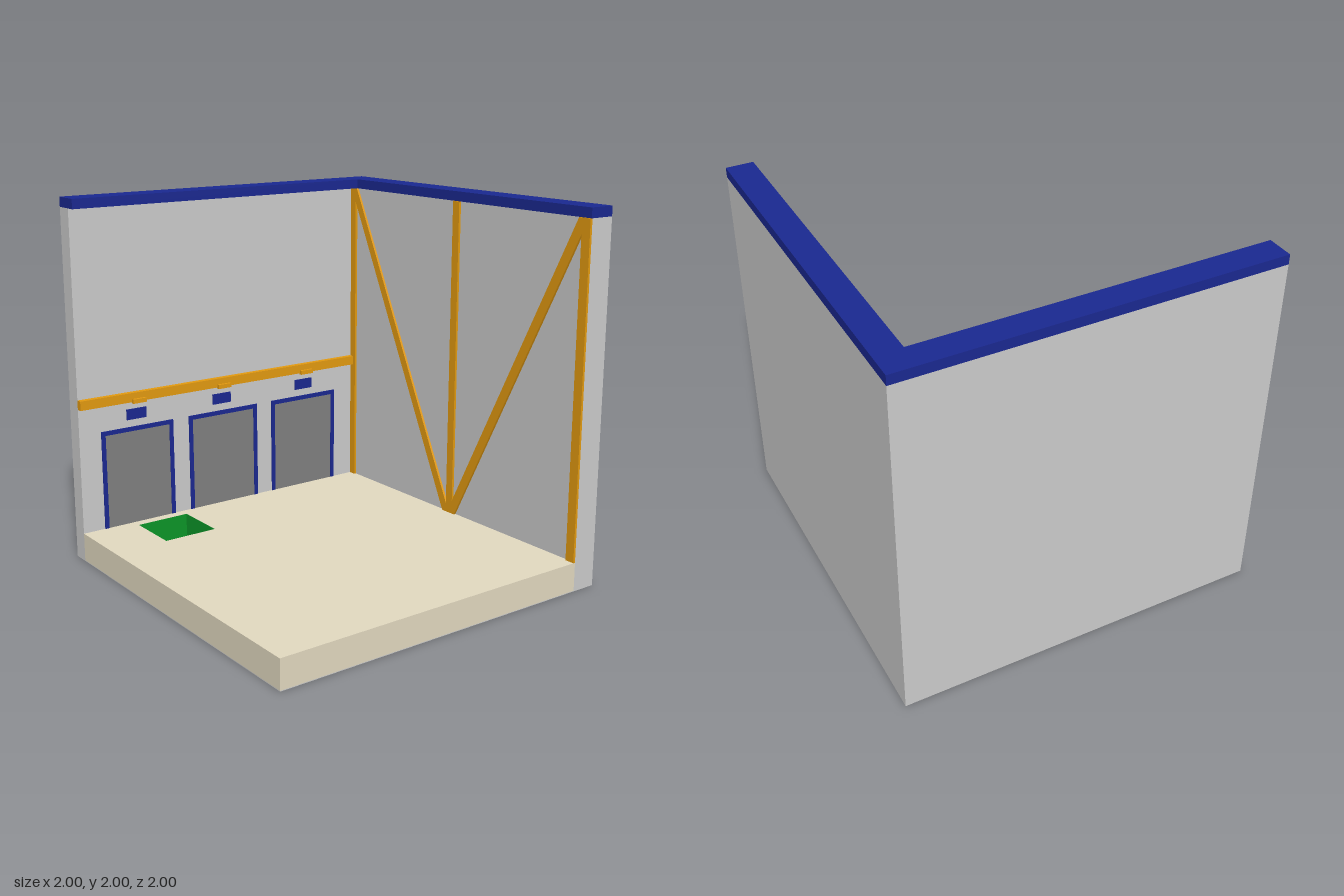
import * as THREE from 'three';

const mat = (color) => new THREE.MeshStandardMaterial({ color });
const grey = mat(0xcccccc);
const blue = mat(0x1a2890);
const orange = mat(0xe39a10);
const beige = mat(0xe2d9c0);
const green = mat(0x0c9628);
const darkGrey = mat(0x808080);

export function createModel() {
  const model = new THREE.Group();

  const add = (name, geometry, material) => {
    const mesh = new THREE.Mesh(geometry, material);
    mesh.name = name;
    model.add(mesh);
    return mesh;
  };

  // Box given by its limits on each axis
  const box = (name, material, x0, x1, y0, y1, z0, z1) => {
    const mesh = add(name, new THREE.BoxGeometry(x1 - x0, y1 - y0, z1 - z0), material);
    mesh.position.set((x0 + x1) / 2, (y0 + y1) / 2, (z0 + z1) / 2);
    return mesh;
  };

  const polygon = (points) => new THREE.Shape(points.map(([x, y]) => new THREE.Vector2(x, y)));

  // Rectangle outline in plan (shape y is -z)
  const plan = (x0, x1, z0, z1) => [[x0, -z1], [x1, -z1], [x1, -z0], [x0, -z0]];

  // Floor slab with a square pit cut right through
  const pit = { x0: -0.85, x1: -0.54, z0: 0.38, z1: 0.69 };
  const slab = (name, material, y0, y1) => {
    const shape = polygon(plan(-0.905, 1, -0.86, 1));
    shape.holes.push(polygon(plan(pit.x0, pit.x1, pit.z0, pit.z1)));
    const geometry = new THREE.ExtrudeGeometry(shape, { depth: y1 - y0, bevelEnabled: false });
    geometry.rotateX(-Math.PI / 2);
    add(name, geometry, material).position.y = y0;
  };
  slab('floorUnderside', grey, 0, 0.004);
  slab('floor', beige, 0.004, 0.16);

  // Pit lining
  const t = 0.002;
  box('pitLiningLeft', green, pit.x0, pit.x0 + t, 0.002, 0.159, pit.z0, pit.z1);
  box('pitLiningRight', green, pit.x1 - t, pit.x1, 0.002, 0.159, pit.z0, pit.z1);
  box('pitLiningBack', green, pit.x0, pit.x1, 0.002, 0.159, pit.z0, pit.z0 + t);
  box('pitLiningFront', green, pit.x0, pit.x1, 0.002, 0.159, pit.z1 - t, pit.z1);

  // Walls and the coping that overhangs them
  box('sideWall', grey, -1, -0.905, 0, 1.947, -1, 1);
  box('backWall', grey, -0.905, 1, 0, 1.947, -1, -0.86);
  box('sideCoping', blue, -1, -0.855, 1.947, 2, -0.855, 1);
  box('backCoping', blue, -1, 1, 1.947, 2, -1, -0.855);

  // Flat steel truss on the back wall
  const trussPart = (name, points) => {
    const geometry = new THREE.ExtrudeGeometry(polygon(points), { depth: 0.013, bevelEnabled: false });
    add(name, geometry, orange).position.z = -0.86;
  };
  const post = (name, x0, x1) =>
    trussPart(name, [[x0, 0.16], [x1, 0.16], [x1, 1.947], [x0, 1.947]]);
  post('leftPost', -0.905, -0.86);
  post('middlePost', 0.005, 0.055);
  post('rightPost', 0.945, 1);
  trussPart('leftBrace', [[-0.86, 1.947], [-0.86, 1.865], [-0.025, 0.16], [0.03, 0.16], [-0.85, 1.947]]);
  trussPart('rightBrace', [[0.945, 1.947], [0.925, 1.947], [0.015, 0.16], [0.075, 0.16], [0.945, 1.865]]);

  // Rail along the side wall
  box('rail', orange, -0.905, -0.872, 0.868, 0.92, -0.84, 1);

  // Three framed doors, each with a sign and a lamp on the rail
  const face = -0.905;
  const bays = [
    { door: [0.42, 0.87], sign: 0.65, lamp: 0.648 },
    { door: [-0.147, 0.317], sign: 0.095, lamp: 0.098 },
    { door: [-0.715, -0.25], sign: -0.483, lamp: -0.482 },
  ];
  for (const { door: [z0, z1], sign, lamp } of bays) {
    const w = 0.025;
    box('doorPanel', darkGrey, face, face + 0.002, 0.16, 0.7, z0 + w, z1 - w);
    box('doorFrameSide', blue, face, face + 0.005, 0.16, 0.72, z0, z0 + w);
    box('doorFrameSide', blue, face, face + 0.005, 0.16, 0.72, z1 - w, z1);
    box('doorFrameTop', blue, face, face + 0.005, 0.695, 0.72, z0 + w, z1 - w);
    box('sign', blue, face, face + 0.006, 0.762, 0.822, sign - 0.061, sign + 0.061);
    box('lamp', orange, -0.876, -0.855, 0.862, 0.886, lamp - 0.042, lamp + 0.042);
  }

  return model;
}
